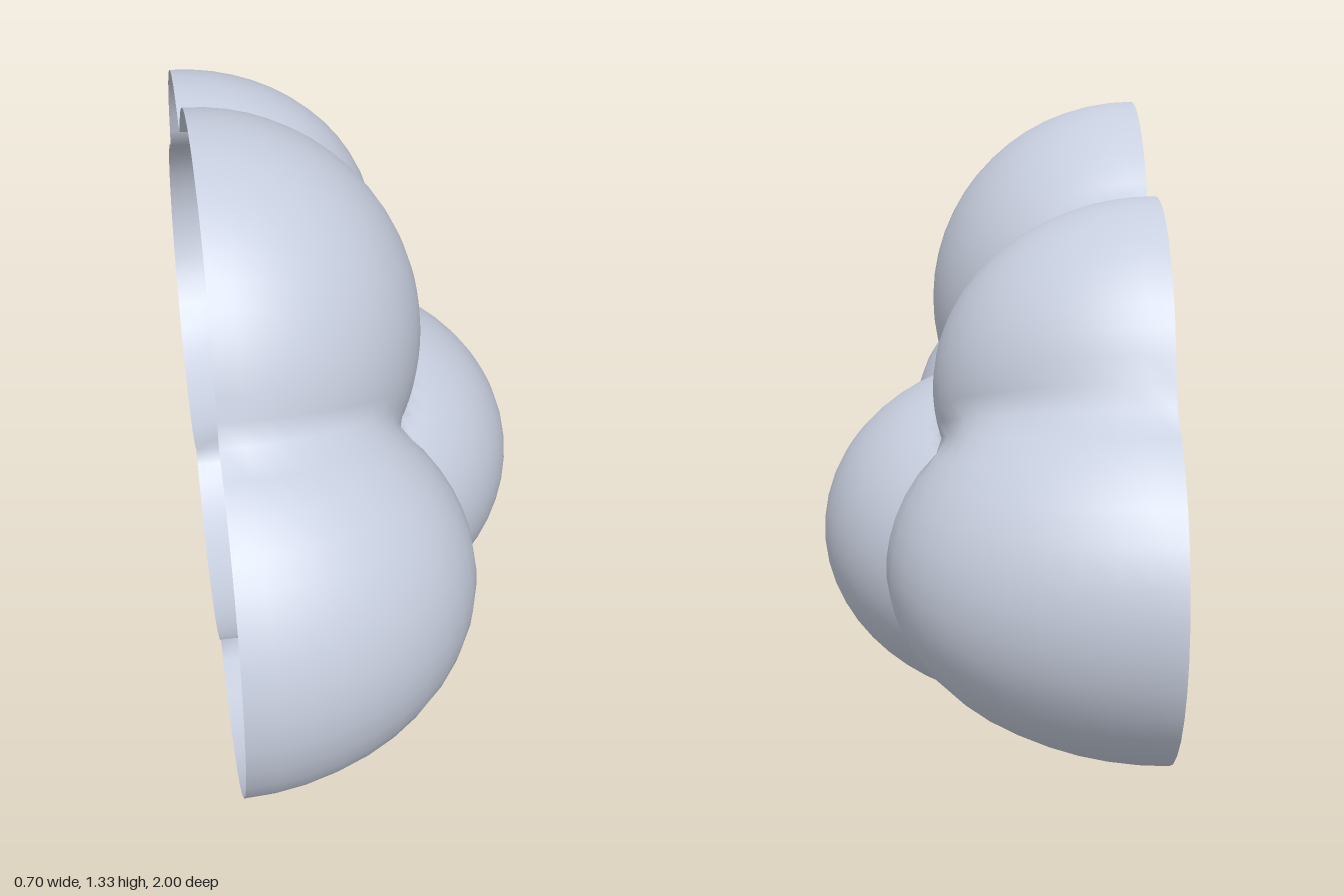
import * as THREE from 'three';

// Puffs of the half cloud: centre, radii. All are cut open at x = CUT.
const CUT = -0.35;
const PUFFS = [
  { c: [CUT, 0.52, 0.58], r: [0.51, 0.42, 0.42] },    // front
  { c: [-0.13, 0.39, 0.0], r: [0.48, 0.39, 0.445] },  // lower middle, runs straight back to the cut
  { c: [CUT, 0.46, -0.58], r: [0.54, 0.38, 0.42] },   // back
  { c: [CUT, 0.885, 0.2], r: [0.455, 0.45, 0.465] },  // upper front
  { c: [CUT, 0.775, -0.36], r: [0.45, 0.385, 0.385] } // upper back
];

function inside(x, y, z) {
  return PUFFS.some(({ c, r }) => {
    const dx = Math.max(0, x - c[0]) / r[0];
    const dy = (y - c[1]) / r[1];
    const dz = (z - c[2]) / r[2];
    return dx * dx + dy * dy + dz * dz < 1;
  });
}

// Distance from the middle of the cut to the joined outer skin
const ORIGIN = [CUT, 0.6, 0];
function reach(d) {
  let lo = 0, hi = 1.6;
  for (let i = 0; i < 30; i++) {
    const t = (lo + hi) / 2;
    if (inside(ORIGIN[0] + d[0] * t, ORIGIN[1] + d[1] * t, ORIGIN[2] + d[2] * t)) lo = t;
    else hi = t;
  }
  return lo;
}

// Half dome of directions pushed out to the skin, left open at the cut
function shellGeometry(rings, segments) {
  const positions = [], index = [];
  const add = (theta, phi) => {
    const s = Math.sin(theta);
    const d = [Math.cos(theta), s * Math.cos(phi), s * Math.sin(phi)];
    const t = reach(d);
    positions.push(...d.map((v, i) => ORIGIN[i] + v * t));
  };
  add(0, 0);
  for (let i = 1; i <= rings; i++) {
    for (let j = 0; j < segments; j++) add((i / rings) * Math.PI / 2, (j / segments) * Math.PI * 2);
  }
  const at = (i, j) => 1 + (i - 1) * segments + (j % segments);
  for (let j = 0; j < segments; j++) {
    index.push(0, at(1, j), at(1, j + 1));
    for (let i = 1; i < rings; i++) {
      const a = at(i, j), b = at(i + 1, j), c = at(i + 1, j + 1), d = at(i, j + 1);
      index.push(a, b, d, b, c, d);
    }
  }
  const geometry = new THREE.BufferGeometry();
  geometry.setAttribute('position', new THREE.Float32BufferAttribute(positions, 3));
  geometry.setIndex(index);
  geometry.computeVertexNormals();
  return geometry;
}

export function createModel() {
  const group = new THREE.Group();
  group.name = 'halfCloud';
  const cloudGrey = new THREE.MeshStandardMaterial({ color: 0xc8cfdf, side: THREE.DoubleSide });
  cloudGrey.name = 'cloud grey';
  const shell = new THREE.Mesh(shellGeometry(24, 96), cloudGrey);
  shell.name = 'cloudShell';
  group.add(shell);
  return group;
}
